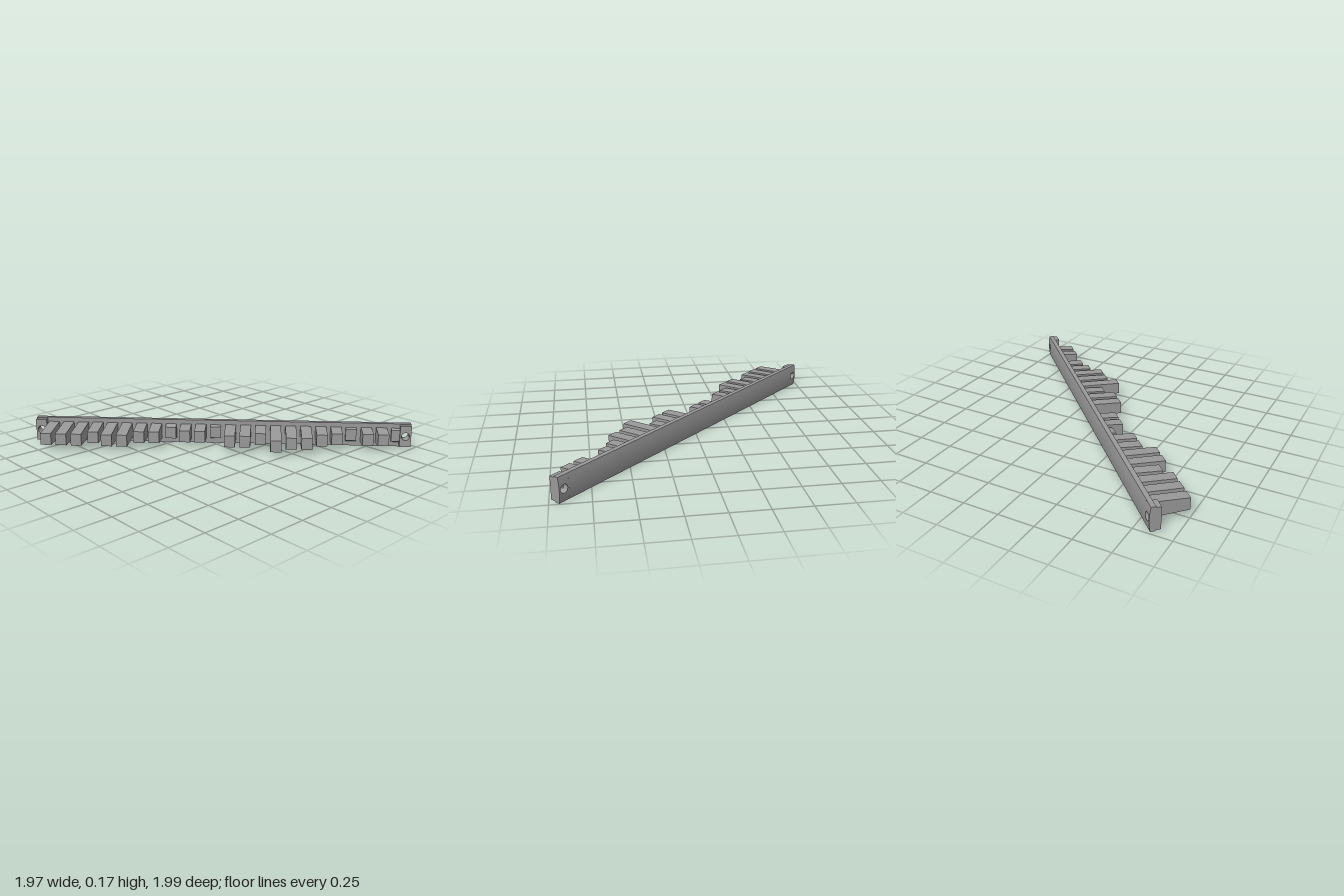
import * as THREE from 'three';
import { ParametricGeometry } from 'three/addons/geometries/ParametricGeometry.js';

// Local frame: x runs along the rail, z points out of its toothed face.
const LENGTH = 2.667, HEIGHT = 0.167, MID = HEIGHT / 2;
const BACK = 0.008, FRONT = 0.04, BOSS = 0.073, END = 0.078, HOLE = 0.028;

// Depth of the gently bowed back at height y
const bow = y => BACK * ((y - MID) / MID) ** 2;

function rect(x0, y0, x1, y1, holes) {
  const shape = new THREE.Shape();
  shape.moveTo(x0, y0).lineTo(x1, y0).lineTo(x1, y1).lineTo(x0, y1).closePath();
  for (const x of holes) {
    shape.holes.push(new THREE.Path().absarc(x, MID, HOLE, 0, Math.PI * 2, true));
  }
  return shape;
}

function plate(shape, z0, z1) {
  return new THREE.ExtrudeGeometry(shape, { depth: z1 - z0, bevelEnabled: false, curveSegments: 16 })
    .translate(0, 0, z0);
}

// Strip with the bowed back profile, from x0 to x1
function bowedStrip(x0, x1) {
  const pts = [];
  for (let i = 0; i <= 16; i++) {
    const y = HEIGHT * i / 16;
    pts.push(new THREE.Vector2(-bow(y), y));
  }
  pts.push(new THREE.Vector2(-BACK - 0.001, HEIGHT), new THREE.Vector2(-BACK - 0.001, 0));
  return new THREE.ExtrudeGeometry(new THREE.Shape(pts), { depth: x1 - x0, bevelEnabled: false })
    .rotateY(Math.PI / 2).translate(x0, 0, 0);
}

// Bowed back face around a screw hole
function bowedEnd(cx) {
  return new ParametricGeometry((u, v, p) => {
    const a = u * Math.PI * 2, c = Math.cos(a), s = Math.sin(a);
    const m = Math.max(Math.abs(c), Math.abs(s));
    const x = THREE.MathUtils.lerp(HOLE * c, END / 2 * c / m, v);
    const y = MID + THREE.MathUtils.lerp(HOLE * s, MID * s / m, v);
    p.set(cx + x, y, bow(y));
  }, 32, 6);
}

// Tooth whose height narrows toward the tip
function toothGeometry(width, z0, z1) {
  const g = new THREE.BoxGeometry(width, 1, z1 - z0);
  const p = g.attributes.position;
  for (let i = 0; i < p.count; i++) {
    p.setY(i, p.getY(i) * (p.getZ(i) > 0 ? 0.082 : 0.106));
  }
  g.translate(0, MID, (z0 + z1) / 2);
  g.computeVertexNormals();
  return g;
}

export function createModel() {
  const model = new THREE.Group();
  model.name = 'toothedRail';
  const grey = new THREE.MeshStandardMaterial({ color: 0x9a9a9a, side: THREE.DoubleSide });
  grey.name = 'grey';

  const rail = new THREE.Group();
  rail.name = 'rail';
  rail.position.set(-0.988, 0, 0.848);
  rail.rotation.y = 0.7655;
  model.add(rail);

  const add = (name, geometry) => {
    const mesh = new THREE.Mesh(geometry, grey);
    mesh.name = name;
    rail.add(mesh);
    return mesh;
  };

  // Long bar with a screw hole at each end
  const holes = [END / 2, LENGTH - END / 2];
  add('bar', plate(rect(0, 0, LENGTH, HEIGHT, holes), BACK, FRONT));
  add('bowedBack', bowedStrip(END, LENGTH - END));

  // End bosses, hole rims and back faces
  for (const cx of holes) {
    add('endBoss', plate(rect(cx - END / 2, 0.007, cx + END / 2, HEIGHT - 0.007, [cx]), FRONT, BOSS));
    add('endBack', bowedEnd(cx));
    const rim = new THREE.CylinderGeometry(HOLE, HOLE, BACK, 32, 1, true);
    add('holeRim', rim.rotateX(Math.PI / 2).translate(cx, MID, BACK / 2));
  }
  add('endEdge', bowedStrip(0, 0.002));
  add('endEdge', bowedStrip(LENGTH - 0.002, LENGTH));

  // Row of teeth with differing reach
  const reach = [
    0.283, 0.284, 0.283, 0.228, 0.285, 0.284, 0.202, 0.201, 0.09, 0.169, 0.169, 0.06,
    0.254, 0.253, 0.191, 0.334, 0.274, 0.272, 0.196, 0.162, 0.058, 0.163, 0.162, 0.058,
  ];
  reach.forEach((r, i) => {
    add('tooth', toothGeometry(0.075, FRONT - 0.005, r)).position.x = 0.126 + i * 0.1062;
  });

  return model;
}
